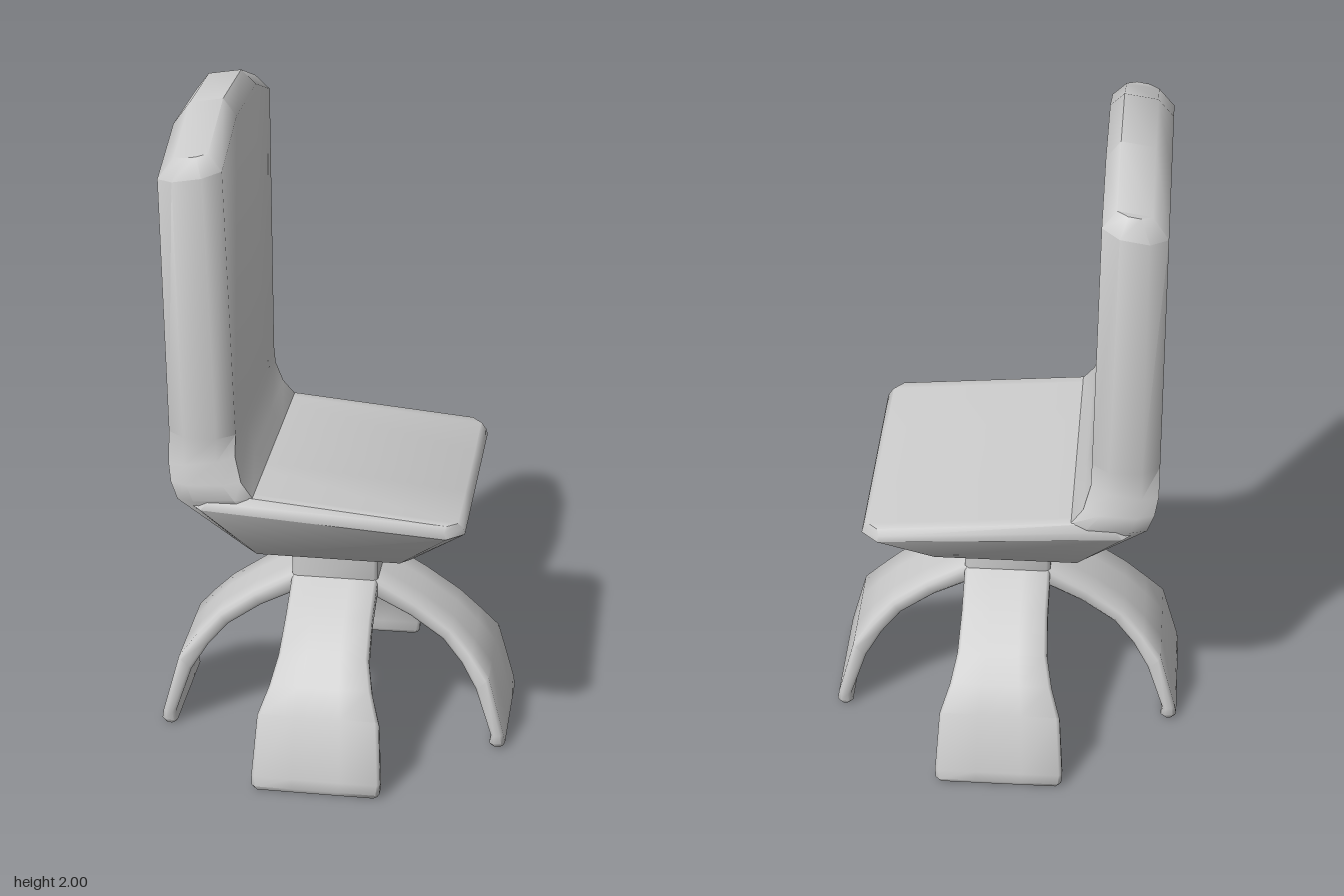
import * as THREE from 'three';
import { toCreasedNormals } from 'three/addons/utils/BufferGeometryUtils.js';

const material = new THREE.MeshStandardMaterial({ color: 0xcccccc });

// Chamfered slab cross-section between two side-profile points a and b ([x, y]),
// spanning z = -hz..hz. cx, cz: chamfer sizes; lift raises the middle columns.
function slab(a, b, hz, cx, cz = cx, lift = 0) {
  const length = Math.hypot(b[0] - a[0], b[1] - a[1]);
  const at = (t, z, up = 0) => [a[0] + (b[0] - a[0]) * t, a[1] + (b[1] - a[1]) * t + up, z];
  const t = cx / length, e = hz - cz, m = hz * 0.36;
  return [
    at(1 - t, hz), at(1, e), at(1, m, lift), at(1, -m, lift), at(1, -e), at(1 - t, -hz),
    at(t, -hz), at(0, -e), at(0, -m, lift), at(0, m, lift), at(0, e), at(t, hz),
  ];
}

// Skin a list of equal-length rings and close both ends with strips.
function loft(name, rings) {
  const n = rings[0].length, index = [];
  const quad = (a, b, c, d) => index.push(a, b, c, a, c, d);
  for (let r = 0; r < rings.length - 1; r++) {
    for (let i = 0; i < n; i++) {
      const j = (i + 1) % n, lo = r * n, hi = lo + n;
      quad(lo + i, lo + j, hi + j, hi + i);
    }
  }
  const end = (rings.length - 1) * n;
  for (let i = 0; i < n / 2 - 1; i++) {
    quad(n - 1 - i, n - 2 - i, i + 1, i);
    quad(end + i, end + i + 1, end + n - 2 - i, end + n - 1 - i);
  }
  const geometry = new THREE.BufferGeometry();
  geometry.setAttribute('position', new THREE.Float32BufferAttribute(rings.flat(2), 3));
  geometry.setIndex(index);
  const mesh = new THREE.Mesh(toCreasedNormals(geometry, 0.9), material);
  mesh.name = name;
  return mesh;
}

export function createModel() {
  const model = new THREE.Group();
  model.name = 'swivelChair';

  // Seat: a bowl flaring up to a gently sloping top
  model.add(loft('seat', [
    slab([-0.19, 0.6], [0.19, 0.6], 0.17, 0.03),
    slab([-0.245, 0.635], [0.24, 0.635], 0.24, 0.03),
    slab([-0.4, 0.85], [0.41, 0.8], 0.4, 0.05),
    slab([-0.38, 0.875], [0.405, 0.818], 0.397, 0.05),
    slab([-0.36, 0.9], [0.39, 0.835], 0.383, 0.03),
  ]));

  // Backrest: bends up out of the seat, widens, and ends in an arched top
  model.add(loft('backrest', [
    slab([-0.245, 0.635], [-0.12, 0.64], 0.24, 0.03),
    slab([-0.42, 0.87], [-0.2, 0.885], 0.4, 0.05, 0.02),
    slab([-0.44, 0.92], [-0.235, 0.93], 0.397, 0.05, 0.025),
    slab([-0.45, 0.97], [-0.255, 1.0], 0.38, 0.05, 0.03),
    slab([-0.45, 1.06], [-0.256, 1.06], 0.37, 0.05, 0.04),
    slab([-0.45, 1.84], [-0.27, 1.87], 0.43, 0.05, 0.045, 0.085),
    slab([-0.405, 1.9], [-0.31, 1.915], 0.39, 0.03, 0.02, 0.085),
  ]));

  // Square column under the seat
  model.add(loft('column', [
    slab([-0.13, 0.46], [0.13, 0.46], 0.13, 0.012),
    slab([-0.13, 0.61], [0.13, 0.61], 0.13, 0.012),
  ]));

  // Four curved blade legs: outer point, inner point, half width
  const legProfile = [
    [[0.08, 0.535], [0.08, 0.47], 0.128],
    [[0.135, 0.512], [0.125, 0.455], 0.13],
    [[0.25, 0.445], [0.23, 0.4], 0.13],
    [[0.355, 0.37], [0.33, 0.33], 0.135],
    [[0.42, 0.3], [0.39, 0.262], 0.153],
    [[0.475, 0.23], [0.437, 0.19], 0.18],
    [[0.525, 0.045], [0.487, 0.04], 0.192],
    [[0.53, 0.015], [0.482, 0.012], 0.19],
    [[0.522, 0], [0.49, 0], 0.183],
  ];
  for (let i = 0; i < 4; i++) {
    const leg = loft('leg', legProfile.map(([outer, inner, w]) => slab(outer, inner, w, 0.01)));
    leg.rotation.y = i * Math.PI / 2;
    model.add(leg);
  }
  return model;
}
